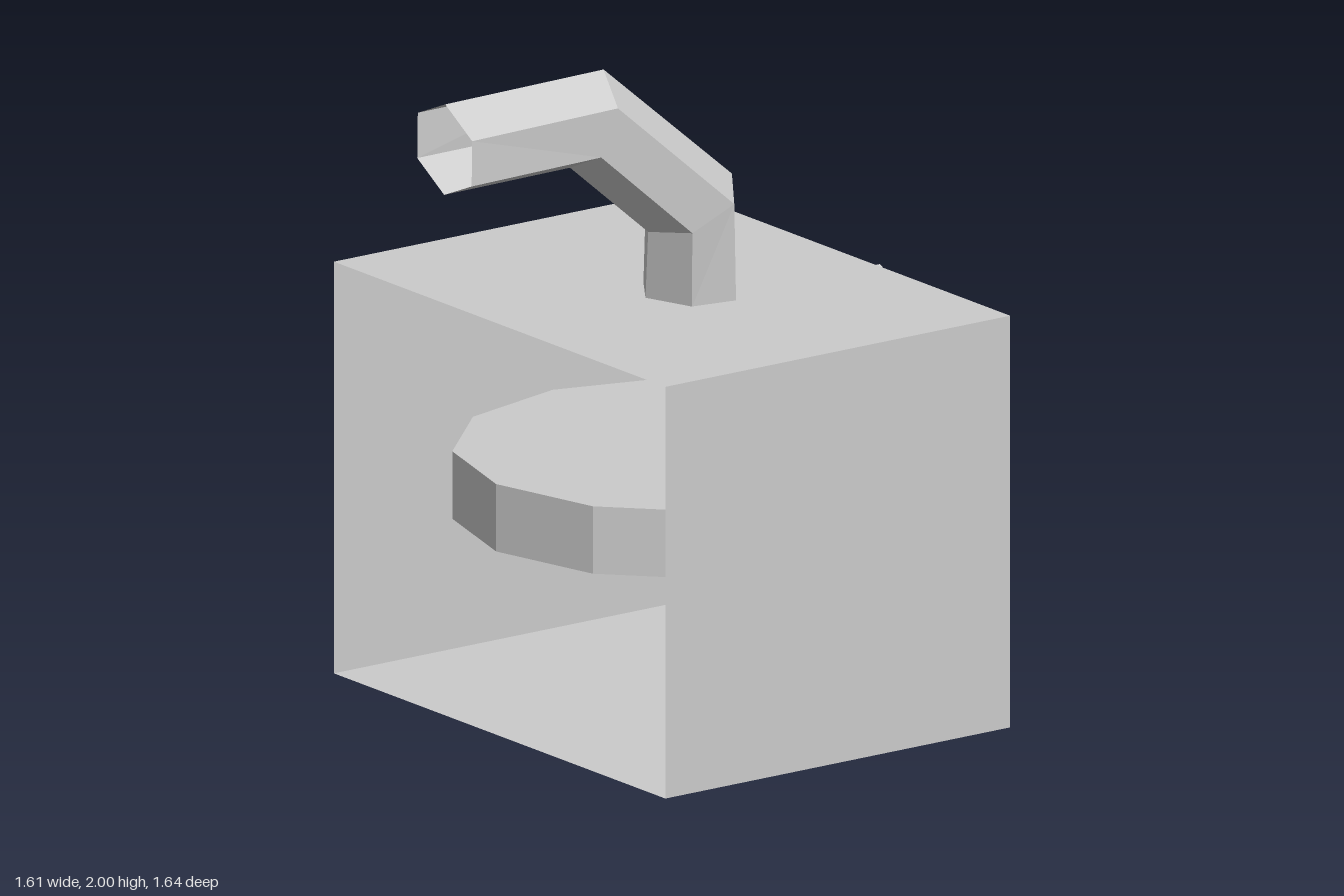
import * as THREE from 'three';

const solid = new THREE.MeshStandardMaterial({ color: 0xcccccc, flatShading: true });
const open = new THREE.MeshStandardMaterial({ color: 0xcccccc, flatShading: true, side: THREE.DoubleSide });

function part(name, geometry, material, parent) {
  const mesh = new THREE.Mesh(geometry, material);
  mesh.name = name;
  parent.add(mesh);
  return mesh;
}

// Open pipe through rings, each with a centre c and two half-axes u and w
function bentPipe(rings, sides) {
  const pos = [], index = [];
  for (const { c, u, w } of rings) {
    for (let i = 0; i < sides; i++) {
      const a = (i / sides) * Math.PI * 2;
      for (let k = 0; k < 3; k++) pos.push(c[k] + u[k] * Math.cos(a) + w[k] * Math.sin(a));
    }
  }
  for (let r = 0; r < (rings.length - 1) * sides; r += sides) {
    for (let i = 0; i < sides; i++) {
      const j = (i + 1) % sides;
      index.push(r + i, r + sides + i, r + j, r + j, r + sides + i, r + sides + j);
    }
  }
  const g = new THREE.BufferGeometry();
  g.setAttribute('position', new THREE.Float32BufferAttribute(pos, 3));
  g.setIndex(index);
  g.computeVertexNormals();
  return g;
}

export function createModel() {
  const model = new THREE.Group();
  model.name = 'boxWithBentPipe';

  // Body, open on its -x side
  const box = new THREE.BoxGeometry(1.258, 1.258, 1.636);
  const faces = Array.from(box.index.array);
  faces.splice(6, 6);
  box.setIndex(faces);
  box.clearGroups();
  part('body', box, open, model).position.set(0.029, 0.629, 0);

  // Octagonal plate on the +x side
  const plate = part('sidePlate', new THREE.CylinderGeometry(0.57, 0.57, 0.129, 8).rotateZ(-Math.PI / 2), solid, model);
  plate.position.set(0.7225, 0.632, 0);

  // Flat disc inside; its corners just poke through both sides
  const disc = part('innerDisc', new THREE.CylinderGeometry(0.71, 0.71, 0.206, 12), solid, model);
  disc.position.set(0.095, 0.67, 0.015);
  disc.rotation.y = -0.017;

  // Bent pipe on top, open at its end
  const rings = [
    { c: [0.053, 1.255, 0.055], u: [0.143, 0, 0.025], w: [-0.02, 0, 0.165] },
    { c: [0.032, 1.54, 0.085], u: [0.138, 0.07, 0.02], w: [-0.017, -0.017, 0.156] },
    { c: [-0.33, 1.855, 0.065], u: [0.05, 0.145, 0.015], w: [-0.017, -0.012, 0.153] },
    { c: [-0.804, 1.828, 0.005], u: [0.002, 0.138, 0], w: [0, -0.014, 0.155] },
  ];
  part('pipe', bentPipe(rings, 6), open, model);

  return model;
}
